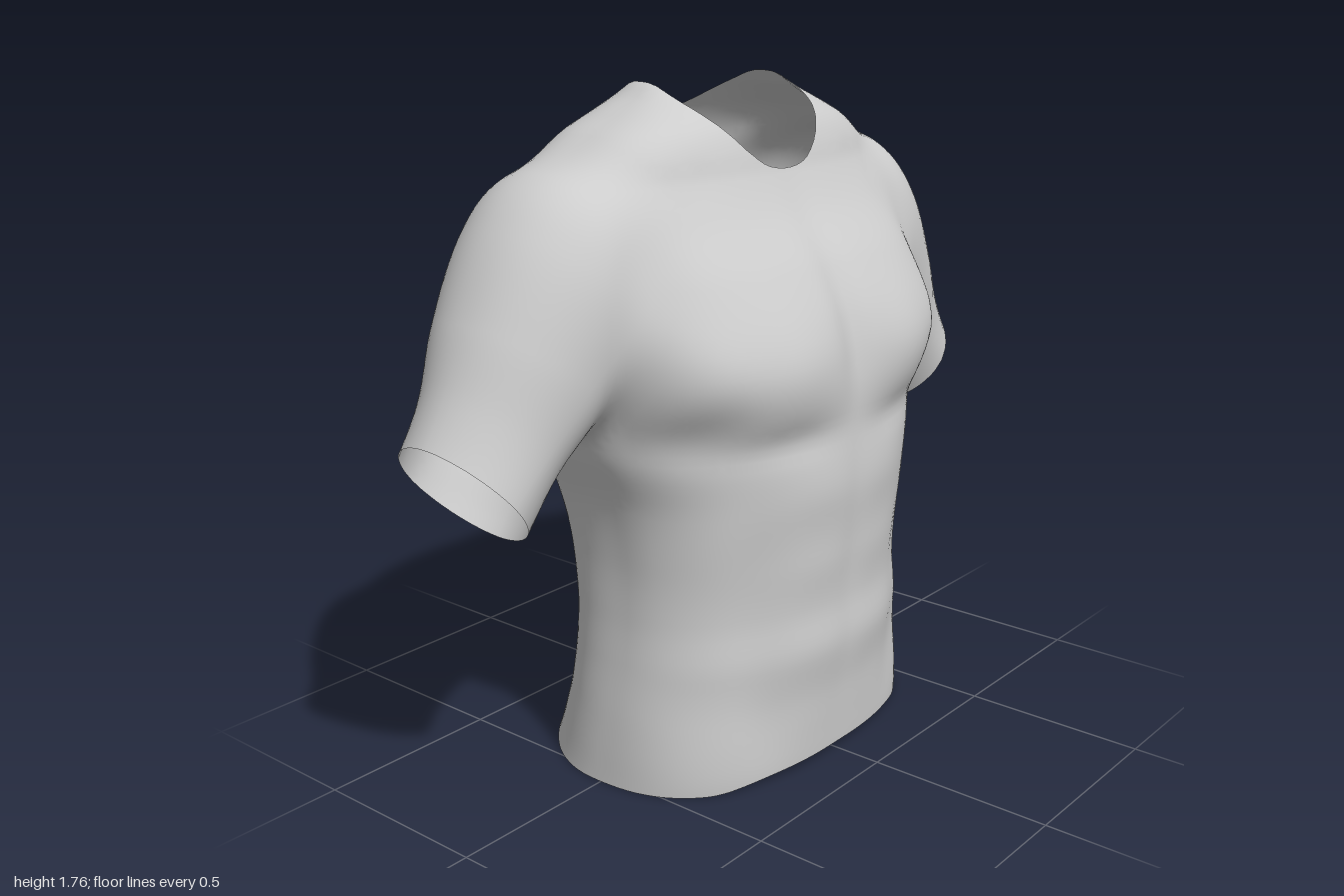
import * as THREE from 'three';
import { mergeVertices } from 'three/addons/utils/BufferGeometryUtils.js';

// Torso profile rows: height, half width, front z, back z
const TORSO = [
  [-0.1, 0.545, 0.355, -0.47], [0, 0.537, 0.37, -0.428], [0.1, 0.53, 0.378, -0.382],
  [0.2, 0.52, 0.386, -0.336], [0.33, 0.502, 0.402, -0.3], [0.45, 0.488, 0.398, -0.286],
  [0.6, 0.484, 0.406, -0.302], [0.75, 0.503, 0.417, -0.342], [0.9, 0.555, 0.412, -0.38],
  [1.05, 0.588, 0.41, -0.41], [1.2, 0.6, 0.384, -0.425], [1.32, 0.598, 0.328, -0.408],
  [1.45, 0.58, 0.236, -0.372], [1.54, 0.548, 0.187, -0.335], [1.6, 0.51, 0.166, -0.31],
  [1.65, 0.445, 0.142, -0.28], [1.69, 0.362, 0.11, -0.247], [1.725, 0.294, 0.068, -0.214],
  [1.765, 0.24, 0.008, -0.165], [1.82, 0.13, -0.04, -0.11], [1.9, 0.02, -0.06, -0.1],
];
// Sleeve rows: distance along the axis, upper, lower and sideways radius, centre z
const SLEEVE = [
  [-0.95, 0.02, 0.02, 0.02, -0.09], [-0.85, 0.13, 0.13, 0.16, -0.09],
  [-0.71, 0.248, 0.2, 0.248, -0.09], [-0.55, 0.276, 0.21, 0.264, -0.085],
  [-0.32, 0.24, 0.185, 0.23, -0.08], [-0.15, 0.196, 0.16, 0.193, -0.072],
  [0, 0.174, 0.172, 0.184, -0.073], [0.2, 0.165, 0.18, 0.175, -0.07],
];
// Muscle relief: x, y, x radius, y radius, height (mirrored in x)
const FRONT = [
  [0.26, 1.1, 0.19, 0.13, 0.032], [0.22, 0.92, 0.15, 0.05, -0.012],
  [0.46, 1.13, 0.1, 0.1, 0.016], [0.47, 0.96, 0.1, 0.07, -0.014],
  [0, 1.2, 0.06, 0.22, -0.018], [0.52, 1.38, 0.08, 0.13, -0.01],
  [0.57, 1.06, 0.06, 0.1, -0.01], [0.33, 1.55, 0.1, 0.06, -0.005],
  [0, 0.55, 0.05, 0.35, -0.005], [0.13, 0.78, 0.12, 0.08, 0.005],
  [0.13, 0.57, 0.12, 0.08, 0.005], [0.13, 0.35, 0.12, 0.08, 0.004],
  [0.31, 0.43, 0.08, 0.25, -0.01], [0.41, 0.65, 0.09, 0.14, 0.008],
  [0.27, 0.15, 0.08, 0.12, -0.006],
];
const BACK = [
  [0, 0.85, 0.1, 0.6, -0.042], [0.39, 1.2, 0.16, 0.2, 0.03],
  [0.42, 0.98, 0.15, 0.08, -0.008], [0.15, 0.45, 0.1, 0.3, 0.008],
  [0.58, 1.1, 0.06, 0.12, -0.01], [0, 0.06, 0.1, 0.14, -0.02],
  [0, 1.35, 0.07, 0.14, -0.016],
];

// Smooth interpolation through the rows of a table
function sample(rows, t) {
  const n = rows.length - 1;
  if (t <= rows[0][0]) return rows[0];
  if (t >= rows[n][0]) return rows[n];
  let i = 0;
  while (t > rows[i + 1][0]) i++;
  const a = rows[i], b = rows[i + 1], p = rows[Math.max(i - 1, 0)], q = rows[Math.min(i + 2, n)];
  const h = b[0] - a[0], u = (t - a[0]) / h, u2 = u * u, u3 = u2 * u;
  return a.map((v, k) => {
    const m0 = (b[k] - p[k]) / (b[0] - p[0]), m1 = (q[k] - v) / (q[0] - a[0]);
    return (2 * u3 - 3 * u2 + 1) * v + (3 * u2 - 2 * u3) * b[k] + h * ((u3 - 2 * u2 + u) * m0 + (u3 - u2) * m1);
  });
}

// Radial distance to a superellipse with half axes a, b
function radial(x, y, a, b, p) {
  const r = Math.pow(Math.pow(Math.abs(x) / a, p) + Math.pow(Math.abs(y) / b, p), 1 / p);
  return r < 1e-3 ? -Math.min(a, b) : Math.hypot(x, y) * (1 - 1 / r);
}

const step = (a, b, v) => THREE.MathUtils.smoothstep(v, a, b);

function relief(list, x, y) {
  let sum = 0;
  for (const [cx, cy, rx, ry, h] of list) sum += h * Math.exp(-(((x - cx) / rx) ** 2) - ((y - cy) / ry) ** 2);
  return sum;
}

// Body field: negative inside, zero on the cloth
function field(px, y, z) {
  const x = Math.abs(px);
  const [, w, zf, zb] = sample(TORSO, y);
  const zc = (zf + zb) / 2, dz = z - zc;
  // squareness of the section: softer at the flanks in front and at the hem behind
  const p = dz > 0 ? 2.6 - 0.45 * step(0, 0.3, y) * (1 - step(0.88, 1.1, y)) : 1.95 + 1.05 * step(0, 0.6, y);
  const torso = radial(x, dz, w, (zf - zb) / 2, p);
  const dx = x - 0.89, dy = y - 0.865;
  const s = dx * 0.64 - dy * 0.768, u = dx * 0.768 + dy * 0.64;
  const [, up, low, side, cz] = sample(SLEEVE, s);
  const arm = radial(u, z - cz, u > 0 ? up : low, side, 2.1 - 0.25 * step(-0.4, 0, s));
  const k = 0.07, h = Math.max(k - Math.abs(torso - arm), 0) / k;
  let d = Math.min(torso, arm) - h * h * k / 4;
  if (z > 0 && d < 0.2) d -= step(0, 0.14, z) * relief(FRONT, x, y);
  if (z < 0 && d < 0.2) d -= step(0, 0.16, -z) * relief(BACK, x, y);
  return d;
}

function gradient([x, y, z]) {
  const e = 0.002;
  return [field(x + e, y, z) - field(x - e, y, z), field(x, y + e, z) - field(x, y - e, z),
    field(x, y, z + e) - field(x, y, z - e)].map((v) => v / (2 * e));
}

// Openings: each value is positive where cloth remains
const OPENINGS = [
  ([, y, z]) => y - 0.022 * step(0.27, 0.37, z) - 0.012 * step(0.2, 0.4, -z),
  ([x, y]) => Math.max(0.64 - Math.abs(x), (0.89 - Math.abs(x)) * 0.775 + (y - 0.865) * 0.634),
  ([x, y, z]) => Math.max(1.4 - y, Math.abs(x / 0.245) ** 2.6 + Math.abs((z + 0.043) / 0.225) ** 2.6 - 1),
];

function clip(poly, keep) {
  const out = [];
  poly.forEach((a, i) => {
    const b = poly[(i + 1) % poly.length], ka = keep(a), kb = keep(b);
    if (ka >= 0) out.push(a);
    if ((ka >= 0) !== (kb >= 0)) {
      const t = ka / (ka - kb);
      out.push(a.map((v, j) => v + (b[j] - v) * t));
    }
  });
  return out;
}

// Mesh the zero surface of the field on a regular grid
function clothGeometry() {
  const H = 0.025, O = [-1.1, -0.1, -0.55], N = [89, 83, 45];
  const stride = [1, N[0], N[0] * N[1]];
  const id = (c) => c[0] + c[1] * stride[1] + c[2] * stride[2];
  const val = new Float32Array(N[0] * N[1] * N[2]);
  const each = (fn) => {
    for (let k = 0; k < N[2]; k++) for (let j = 0; j < N[1]; j++) for (let i = 0; i < N[0]; i++) fn([i, j, k]);
  };
  each((c) => { val[id(c)] = field(...c.map((v, a) => O[a] + v * H)); });

  // One point per crossed cell, pulled onto the surface
  const cells = new Map();
  each((c) => {
    if (c.some((v, a) => v >= N[a] - 1)) return;
    const sum = [0, 0, 0];
    let count = 0;
    for (let m = 0; m < 8; m++) for (let a = 0; a < 3; a++) {
      if (m & (1 << a)) continue;
      const o = [m & 1, (m >> 1) & 1, (m >> 2) & 1];
      const n = id(c.map((v, b) => v + o[b])), v0 = val[n], v1 = val[n + stride[a]];
      if ((v0 < 0) === (v1 < 0)) continue;
      o[a] += v0 / (v0 - v1);
      o.forEach((v, b) => { sum[b] += v; });
      count++;
    }
    if (!count) return;
    let p = sum.map((v, a) => O[a] + (c[a] + v / count) * H);
    for (let n = 0; n < 3; n++) {
      const g = gradient(p), f = field(...p);
      const len2 = g[0] ** 2 + g[1] ** 2 + g[2] ** 2 + 1e-6;
      const t = THREE.MathUtils.clamp(f / Math.sqrt(len2), -0.01, 0.01) / Math.sqrt(len2);
      p = p.map((v, a) => v - g[a] * t);
    }
    cells.set(id(c), p);
  });

  // Quads around crossed grid edges, trimmed at the openings
  const pos = [], nor = [];
  each((c) => {
    for (let a = 0; a < 3; a++) {
      const b = (a + 1) % 3, d = (a + 2) % 3;
      if (c[a] >= N[a] - 1 || !c[b] || !c[d]) continue;
      const n = id(c), inside = val[n] < 0;
      if (inside === (val[n + stride[a]] < 0)) continue;
      const quad = [n, n - stride[b], n - stride[b] - stride[d], n - stride[d]].map((q) => cells.get(q));
      if (quad.some((q) => !q)) continue;
      if (!inside) quad.reverse();
      for (const tri of [[quad[0], quad[1], quad[2]], [quad[0], quad[2], quad[3]]]) {
        const poly = OPENINGS.reduce((p, keep) => clip(p, keep), tri);
        for (let i = 2; i < poly.length; i++) for (const p of [poly[0], poly[i - 1], poly[i]]) {
          pos.push(...p);
          nor.push(...new THREE.Vector3(...gradient(p)).normalize().toArray());
        }
      }
    }
  });
  const geo = new THREE.BufferGeometry();
  geo.setAttribute('position', new THREE.Float32BufferAttribute(pos, 3));
  geo.setAttribute('normal', new THREE.Float32BufferAttribute(nor, 3));
  return mergeVertices(geo, 1e-5);
}

export function createModel() {
  const group = new THREE.Group();
  group.name = 'fittedShirt';
  const cloth = new THREE.MeshStandardMaterial({ color: 0xcccccc, side: THREE.DoubleSide });
  cloth.name = 'light grey cloth';
  const shirt = new THREE.Mesh(clothGeometry(), cloth);
  shirt.name = 'shirtShell';
  group.add(shirt);
  return group;
}
